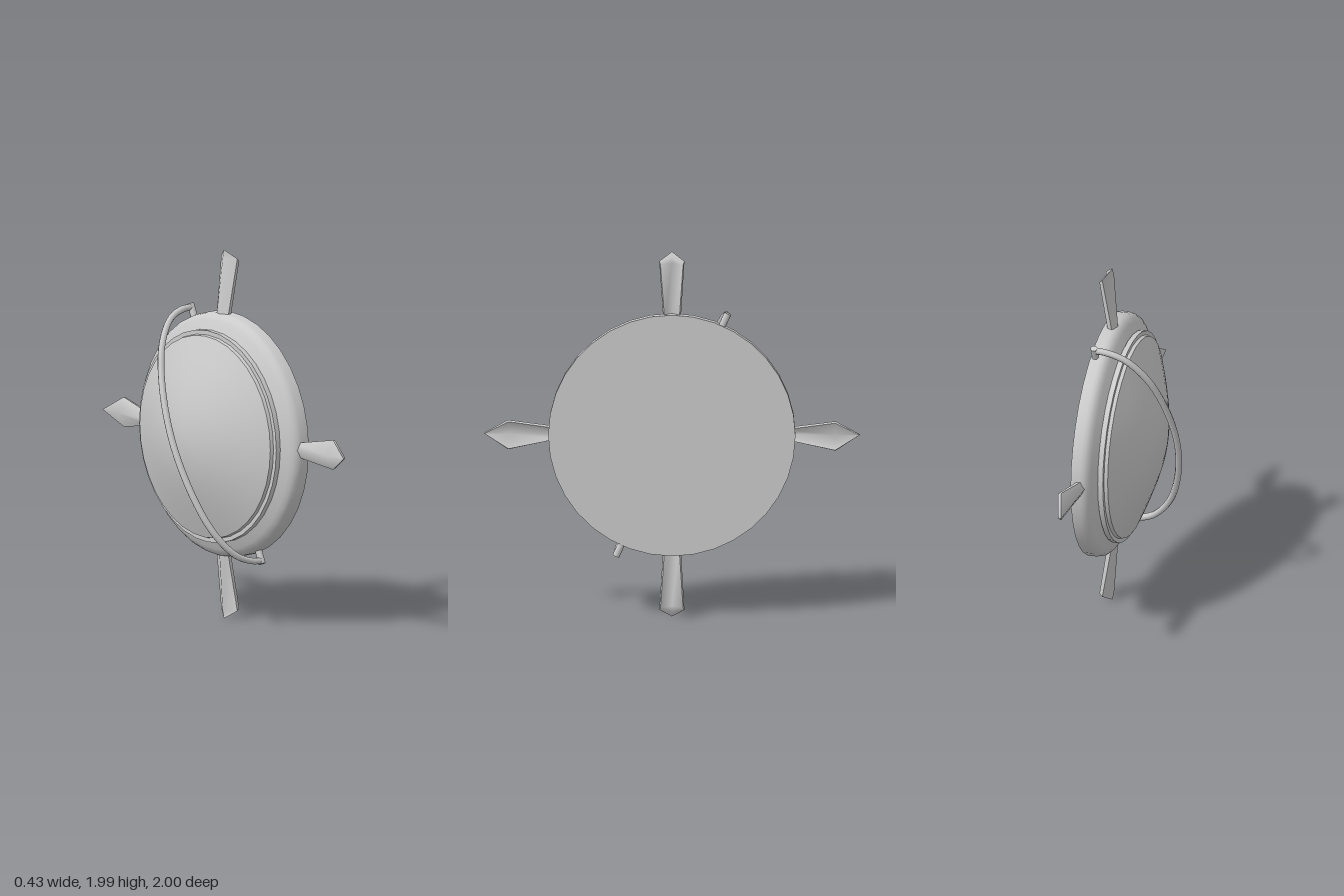
import * as THREE from 'three';
import { toCreasedNormals } from 'three/addons/utils/BufferGeometryUtils.js';

const material = new THREE.MeshStandardMaterial({ color: 0xcccccc });

// Round body turned about the x axis; profile pairs are [x, radius]
function turned(name, profile) {
  const points = profile.map(([x, r]) => new THREE.Vector2(r, -x));
  const geometry = toCreasedNormals(new THREE.LatheGeometry(points, 36), 0.5);
  geometry.rotateZ(Math.PI / 2);
  const mesh = new THREE.Mesh(geometry, material);
  mesh.name = name;
  return mesh;
}

// Folded blade growing along +y, lofted through chevron sections.
// Section: front radius and half width, back radius and half width,
// then x of the ridge, front corners, back corners and valley
function blade(sections) {
  const positions = [];
  const index = [];
  for (const [r, w, backR, backW, ridge, front, back, valley] of sections) {
    positions.push(ridge, r, 0, front, r, w, back, backR, backW,
      valley, backR, 0, back, backR, -backW, front, r, -w);
  }
  for (let s = 0; s < sections.length - 1; s++) {
    for (let i = 0; i < 6; i++) {
      const a = s * 6 + i;
      const b = s * 6 + (i + 1) % 6;
      index.push(a, b, b + 6, a, b + 6, a + 6);
    }
  }
  const top = (sections.length - 1) * 6;
  for (let i = 1; i < 5; i++) {
    index.push(0, i + 1, i, top, top + i, top + i + 1);
  }
  const geometry = new THREE.BufferGeometry();
  geometry.setAttribute('position', new THREE.Float32BufferAttribute(positions, 3));
  geometry.setIndex(index);
  return toCreasedNormals(geometry, 1.25);
}

export function createModel() {
  const group = new THREE.Group();
  const shield = new THREE.Group();
  shield.name = 'shield';
  shield.position.y = 1;
  group.add(shield);

  // Flat-backed rounded rim, stepped collar and domed face
  shield.add(turned('rim', [
    [0.2, 0], [0.2, 0.657], [0.15, 0.656], [0.13, 0.651], [0.113, 0.637],
    [0.1, 0.615], [0.085, 0.58], [0.075, 0.56],
  ]));
  shield.add(turned('collar', [
    [0.075, 0.57], [0.047, 0.57], [0.047, 0.547], [0.028, 0.543], [0.028, 0.53],
  ]));
  shield.add(turned('dome', [
    [0.028, 0.543], [-0.02, 0.428], [-0.06, 0.322], [-0.09, 0.23],
    [-0.111, 0.14], [-0.121, 0.06], [-0.123, 0],
  ]));

  // Blunt blades above and below, pointed ones fore and aft
  const uprightBlade = blade([
    [0.6, 0.045, 0.6, 0.037, 0.125, 0.142, 0.168, 0.15],
    [0.95, 0.067, 0.935, 0.06, 0.15, 0.196, 0.214, 0.172],
    [0.994, 0.001, 0.965, 0.001, 0.16, 0.16, 0.176, 0.176],
  ]);
  const sideBlade = blade([
    [0.6, 0.033, 0.6, 0.027, 0.122, 0.138, 0.165, 0.148],
    [0.87, 0.08, 0.868, 0.074, 0.143, 0.19, 0.208, 0.166],
    [1, 0.001, 0.995, 0.001, 0.153, 0.153, 0.17, 0.17],
  ]);
  ['topBlade', 'frontBlade', 'bottomBlade', 'backBlade'].forEach((name, i) => {
    const mesh = new THREE.Mesh(i % 2 ? sideBlade : uprightBlade, material);
    mesh.name = name;
    mesh.rotation.x = i * Math.PI / 2;
    shield.add(mesh);
  });

  // Bowed bar across the dome
  const handle = new THREE.Group();
  handle.name = 'handle';
  handle.rotation.x = -0.422;
  shield.add(handle);
  const half = [
    [0.176, 0.708], [0.11, 0.702], [0.015, 0.66], [-0.09, 0.525], [-0.165, 0.3],
  ];
  const path = [
    ...half.map(([x, r]) => new THREE.Vector3(x, r, 0)),
    new THREE.Vector3(-0.198, 0, 0),
    ...half.map(([x, r]) => new THREE.Vector3(x, -r, 0)).reverse(),
  ];
  const bar = new THREE.Mesh(
    new THREE.TubeGeometry(new THREE.CatmullRomCurve3(path), 64, 0.018, 8), material);
  bar.name = 'bowedBar';
  handle.add(bar);

  // Square-cornered legs joining the bar ends to the rim
  for (const side of [1, -1]) {
    const leg = new THREE.Mesh(new THREE.CylinderGeometry(0.019, 0.019, 0.106, 8), material);
    leg.name = side > 0 ? 'upperLeg' : 'lowerLeg';
    leg.position.set(0.176, side * 0.673, 0);
    handle.add(leg);
  }

  return group;
}
